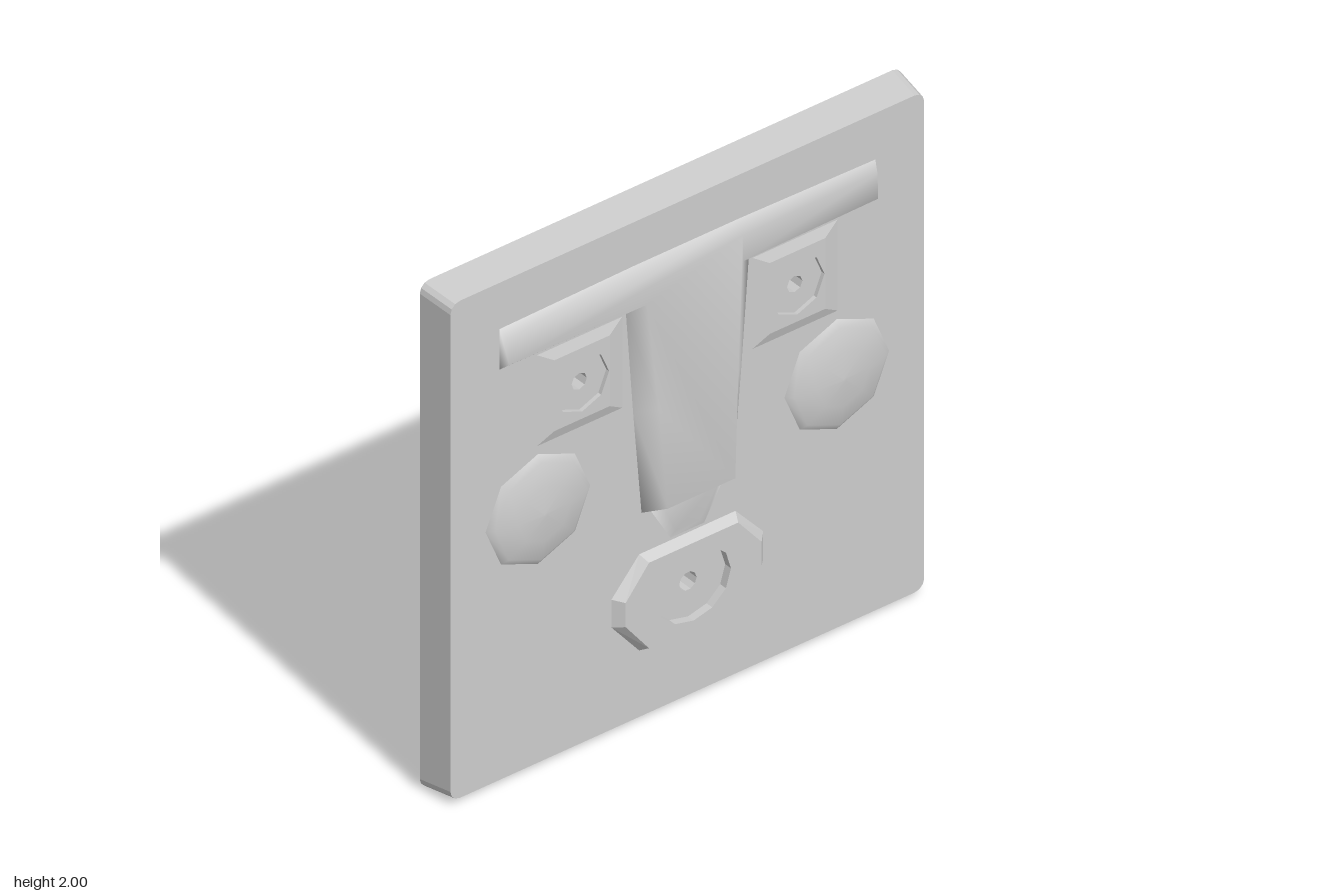
import * as THREE from 'three';

const FACE = 0.032, BACK = -0.107;
const flat = new THREE.MeshStandardMaterial({ color: 0xcccccc, flatShading: true, side: THREE.DoubleSide });
const smooth = new THREE.MeshStandardMaterial({ color: 0xcccccc, side: THREE.DoubleSide });

const at = (pts, z) => pts.map(([x, y]) => [x, y, z]);
const mirror = (half) => [...half, ...half.map(([x, y, z]) => [-x, y, z]).reverse()];
const rect = (x0, x1, y0, y1) => [[x0, y0], [x1, y0], [x1, y1], [x0, y1]];
const ngon = (n, cx, cy, rx, ry = rx) => Array.from({ length: n }, (_, i) => {
  const a = (i / n) * Math.PI * 2;
  return [cx + Math.cos(a) * rx, cy + Math.sin(a) * ry];
});

// counter-clockwise square outline with rounded corners
function roundedSquare(half, r) {
  const pts = [];
  for (let c = 0; c < 4; c++) {
    for (let k = 0; k <= 3; k++) {
      const a = (c + k / 3) * Math.PI / 2, m = (c + 0.5) * Math.PI / 2;
      pts.push([Math.sign(Math.cos(m)) * (half - r) + Math.cos(a) * r,
        1 + Math.sign(Math.sin(m)) * (half - r) + Math.sin(a) * r]);
    }
  }
  return pts;
}

function add(group, name, geometry, material = flat) {
  const mesh = new THREE.Mesh(geometry, material);
  mesh.name = name;
  group.add(mesh);
}

// skin joining rings of equal length, optionally closed by a cap on the last
function loft(rings, cap = true) {
  const n = rings[0].length, index = [];
  for (let r = 0; r < rings.length - 1; r++) {
    for (let i = 0; i < n; i++) {
      const a = r * n + i, b = r * n + (i + 1) % n;
      index.push(a, b, b + n, a, b + n, a + n);
    }
  }
  if (cap) {
    const last = rings[rings.length - 1], base = (rings.length - 1) * n;
    const tris = THREE.ShapeUtils.triangulateShape(last.map(([x, y]) => new THREE.Vector2(x, y)), []);
    for (const t of tris) index.push(...t.map((i) => i + base));
  }
  const geo = new THREE.BufferGeometry();
  geo.setAttribute('position', new THREE.Float32BufferAttribute(rings.flat(2), 3));
  geo.setIndex(index);
  geo.computeVertexNormals();
  return geo;
}

// flat sheet with cut-outs
function plate(outline, holes, z) {
  const v = (pts) => pts.map(([x, y]) => new THREE.Vector2(x, y));
  const shape = new THREE.Shape(v(outline));
  for (const h of holes) shape.holes.push(new THREE.Path(v(h)));
  return new THREE.ShapeGeometry(shape).translate(0, 0, z);
}

// raised plinth with a round recess that runs back into a hollow pin
function socket(name, base, top, z, disc, floorZ, pin) {
  const g = new THREE.Group();
  g.name = name;
  add(g, 'bevel', loft([at(base, FACE), at(top, z)], false));
  add(g, 'plinthFace', plate(top, [disc], z));
  add(g, 'recessWall', loft([at(disc, z), at(disc, floorZ)], false));
  add(g, 'recessFloor', plate(disc, [pin], floorZ));
  add(g, 'pin', loft([at(pin, floorZ), at(pin, -0.085)]));
  return g;
}

export function createModel() {
  const model = new THREE.Group();
  model.name = 'facePanel';
  const holes = [];

  // brow and nose: one T-shaped ridge rising towards the nose tip
  const ridgeZ = (y) => 0.07 + (1.77 - y) * 0.04;
  const ridgeBase = mirror([[0.19, 0.82], [0.225, 1.23], [0.255, 1.64], [0.78, 1.64], [0.78, 1.8], [0.22, 1.81]]);
  const ridgeTop = mirror([[0.14, 0.855], [0.165, 1.25], [0.2, 1.67], [0.765, 1.67], [0.765, 1.77], [0.2, 1.77]])
    .map(([x, y]) => [x, y, ridgeZ(y) - (Math.abs(x) > 0.5 ? 0.008 : 0)]);
  add(model, 'browAndNose', loft([at(ridgeBase, FACE), ridgeTop]), smooth);
  holes.push(ridgeBase);

  // tapering groove between nose and mouth
  const lipBase = [[-0.07, 0.67], [0.07, 0.67], [0.16, 0.825], [-0.16, 0.825]];
  const lipTop = [[-0.05, 0.69, 0.034], [0.05, 0.69, 0.034], [0.12, 0.835, 0.052], [-0.12, 0.835, 0.052]];
  add(model, 'upperLip', loft([at(lipBase, FACE), lipTop]), smooth);

  for (const s of [1, -1]) {
    const side = s > 0 ? 'left' : 'right';

    // eye socket
    const cx = s * 0.447, cy = 1.45;
    const base = rect(cx - 0.177, cx + 0.177, 1.27, 1.63);
    const top = rect(cx - 0.115, cx + 0.115, 1.31, 1.59);
    model.add(socket(side + 'Eye', base, top, 0.045, ngon(8, cx, cy, 0.112), 0.03, ngon(8, cx, cy, 0.032)));
    holes.push(base);

    // domed cheek
    const rings = [[1, 0], [0.88, 0.018], [0.5, 0.036], [0.03, 0.042]]
      .map(([k, h]) => at(ngon(8, s * 0.62, 1.02, 0.217 * k), FACE + h));
    add(model, side + 'Cheek', loft(rings), smooth);
    holes.push(ngon(8, s * 0.62, 1.02, 0.217));
  }

  // mouth
  const mouthBase = mirror([[0.2, 0.28], [0.315, 0.42], [0.315, 0.53], [0.2, 0.66]]);
  const mouthTop = mirror([[0.185, 0.3], [0.282, 0.425], [0.282, 0.52], [0.185, 0.638]]);
  model.add(socket('mouth', mouthBase, mouthTop, 0.065, ngon(12, 0, 0.47, 0.155, 0.14), 0.035,
    ngon(10, 0, 0.47, 0.036)));
  holes.push(mouthBase);

  // face sheet and flared rim, open at the back
  const front = roundedSquare(0.983, 0.04), back = roundedSquare(1, 0.04);
  add(model, 'faceSheet', plate(front, holes, FACE));
  add(model, 'rim', loft([at(back, BACK), at(front, FACE)], false));
  return model;
}
